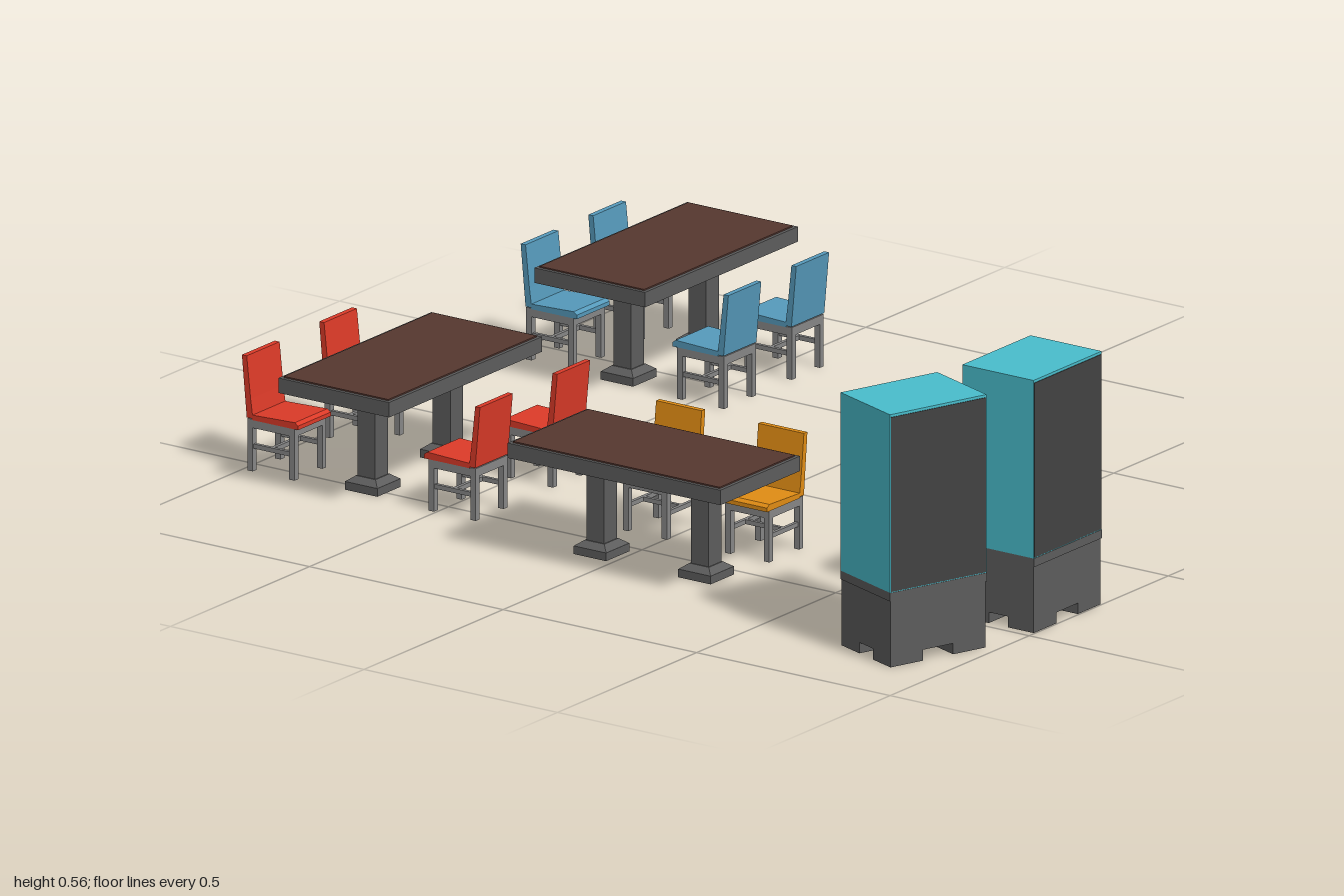
import * as THREE from 'three';

const mat = (name, color) => new THREE.MeshStandardMaterial({ name, color });

export function createModel() {
  const teal = mat('teal', 0x49bccb), charcoal = mat('charcoal', 0x424242);
  const grey = mat('grey', 0x5c5c5c), pale = mat('pale grey', 0xa6a6a6);
  const black = mat('black', 0x222222), frameGrey = mat('chair frame grey', 0x868686);
  const blue = mat('blue', 0x5599ba), red = mat('red', 0xdb3a28);
  const orange = mat('orange', 0xe08c14), brown = mat('brown', 0x55372f);

  const model = new THREE.Group();
  model.name = 'cafeteria';

  const add = (parent, name, geometry, material, x = 0, y = 0, z = 0) => {
    const mesh = new THREE.Mesh(geometry, material);
    mesh.name = name;
    mesh.position.set(x, y, z);
    parent.add(mesh);
    return mesh;
  };
  // box given by its centre in x and z and its bottom and top heights
  const box = (parent, name, material, w, y0, y1, d, x = 0, z = 0) =>
    add(parent, name, new THREE.BoxGeometry(w, y1 - y0, d), material, x, (y0 + y1) / 2, z);
  const place = (name, x, z, turn) => {
    const group = new THREE.Group();
    group.name = name;
    group.position.set(x, 0, z);
    group.rotation.y = turn;
    model.add(group);
    return group;
  };
  const polygon = points => new THREE.Shape(points.map(p => new THREE.Vector2(...p)));
  const extrude = (shape, depth) => new THREE.ExtrudeGeometry(shape, { depth, bevelEnabled: false });

  // Table on two square pedestals
  function table(x, z, turn) {
    const g = place('table', x, z, turn);
    box(g, 'tableRim', grey, 0.55, 0.22, 0.253, 0.286);
    box(g, 'tableSurface', brown, 0.534, 0.25, 0.256, 0.27);
    for (const s of [-1, 1]) {
      const px = s * 0.135;
      box(g, 'pedestalFoot', grey, 0.084, 0, 0.018, 0.084, px);
      const taper = new THREE.CylinderGeometry(0.036, 0.059, 0.012, 4).toNonIndexed();
      taper.rotateY(Math.PI / 4);
      taper.computeVertexNormals();
      add(g, 'pedestalTaper', taper, grey, px, 0.024, 0);
      box(g, 'pedestalColumn', grey, 0.046, 0.02, 0.22, 0.046, px);
    }
  }

  // Chair with its back on the local +z side
  const backGeometry = extrude(polygon([
    [0.044, 0.117], [0.060, 0.117], [0.064, 0.16], [0.0725, 0.253], [0.060, 0.253], [0.050, 0.16],
  ]), 0.118);
  backGeometry.rotateY(-Math.PI / 2).translate(0.059, 0, 0);
  const seatGeometry = extrude(polygon([
    [-0.0725, 0.114], [0.046, 0.114], [0.046, 0.125], [-0.064, 0.129], [-0.0725, 0.123],
  ]), 0.118);
  seatGeometry.rotateY(-Math.PI / 2).translate(0.059, 0, 0);

  function chair(x, z, turn, colour) {
    const g = place('chair', x, z, turn);
    add(g, 'chairSeat', seatGeometry, colour);
    add(g, 'chairBack', backGeometry, colour);
    for (const s of [-1, 1]) {
      for (const lz of [-0.055, 0.053]) box(g, 'chairLeg', frameGrey, 0.014, 0, 0.1, 0.014, s * 0.05, lz);
      box(g, 'sideRail', frameGrey, 0.014, 0.096, 0.115, 0.122, s * 0.05, -0.001);
      box(g, 'sideStretcher', frameGrey, 0.008, 0.05, 0.06, 0.1, s * 0.05);
    }
    for (const lz of [-0.055, 0.053]) box(g, 'crossRail', frameGrey, 0.1, 0.096, 0.115, 0.014, 0, lz);
    box(g, 'crossStretcher', frameGrey, 0.1, 0.05, 0.06, 0.008);
  }

  // Vending machine with its front on the local -z side
  const frontPane = (m, depth) => {
    const w = 0.092 - m, top = 0.522 - m, low = 0.235 + m, c = 0.012, notch = 0.045 - m;
    return extrude(polygon([
      [-w + c, low], [notch - c, low], [notch, low + c], [notch, 0.36 + m], [w - c, 0.36 + m],
      [w, 0.36 + m + c], [w, top - c], [w - c, top], [-w + c, top], [-w, top - c], [-w, low + c],
    ]), depth).rotateY(Math.PI);
  };
  function vendingMachine(x, z, turn) {
    const g = place('vendingMachine', x, z, turn);
    const front = -0.093;
    box(g, 'cabinet', teal, 0.245, 0.165, 0.558, 0.184);
    box(g, 'backPanel', charcoal, 0.241, 0.167, 0.552, 0.006, 0, 0.0905);
    box(g, 'baseCollar', grey, 0.245, 0.146, 0.165, 0.186);
    box(g, 'base', grey, 0.241, 0.024, 0.146, 0.182);
    for (const sx of [-1, 1]) for (const sz of [-1, 1])
      box(g, 'foot', grey, 0.082, 0, 0.024, 0.066, sx * 0.0795, sz * 0.058);
    add(g, 'windowFrame', frontPane(0, 0.008), charcoal, 0, 0, front + 0.001);
    add(g, 'window', frontPane(0.005, 0.003), pale, 0, 0, front - 0.006);
    // controls beside the window
    box(g, 'controlPanel', charcoal, 0.036, 0.25, 0.35, 0.008, -0.073, front - 0.002);
    box(g, 'display', blue, 0.024, 0.325, 0.342, 0.003, -0.073, front - 0.006);
    box(g, 'keypad', pale, 0.024, 0.287, 0.317, 0.003, -0.073, front - 0.006);
    box(g, 'coinButton', red, 0.016, 0.262, 0.278, 0.003, -0.073, front - 0.006);
    // delivery slot
    box(g, 'slotFrame', charcoal, 0.16, 0.045, 0.122, 0.006, 0, -0.0915);
    box(g, 'slotFlap', black, 0.14, 0.058, 0.108, 0.004, 0, -0.094);
  }

  table(-0.355, -0.703, 0);
  table(0.565, -0.703, 0);
  table(-0.565, 0.077, Math.PI / 2);

  for (const x of [-0.488, -0.21]) {
    chair(x, -0.9275, Math.PI, red);
    chair(x, -0.4575, 0, red);
  }
  for (const x of [0.465, 0.708]) chair(x, -0.892, Math.PI, blue);
  for (const x of [0.433, 0.677]) chair(x, -0.4775, 0, blue);
  for (const z of [-0.054, 0.21]) chair(-0.3525, z, Math.PI / 2, orange);

  vendingMachine(-0.359, 0.906, 0);
  vendingMachine(-0.7, 0.845, -0.35);
  return model;
}
